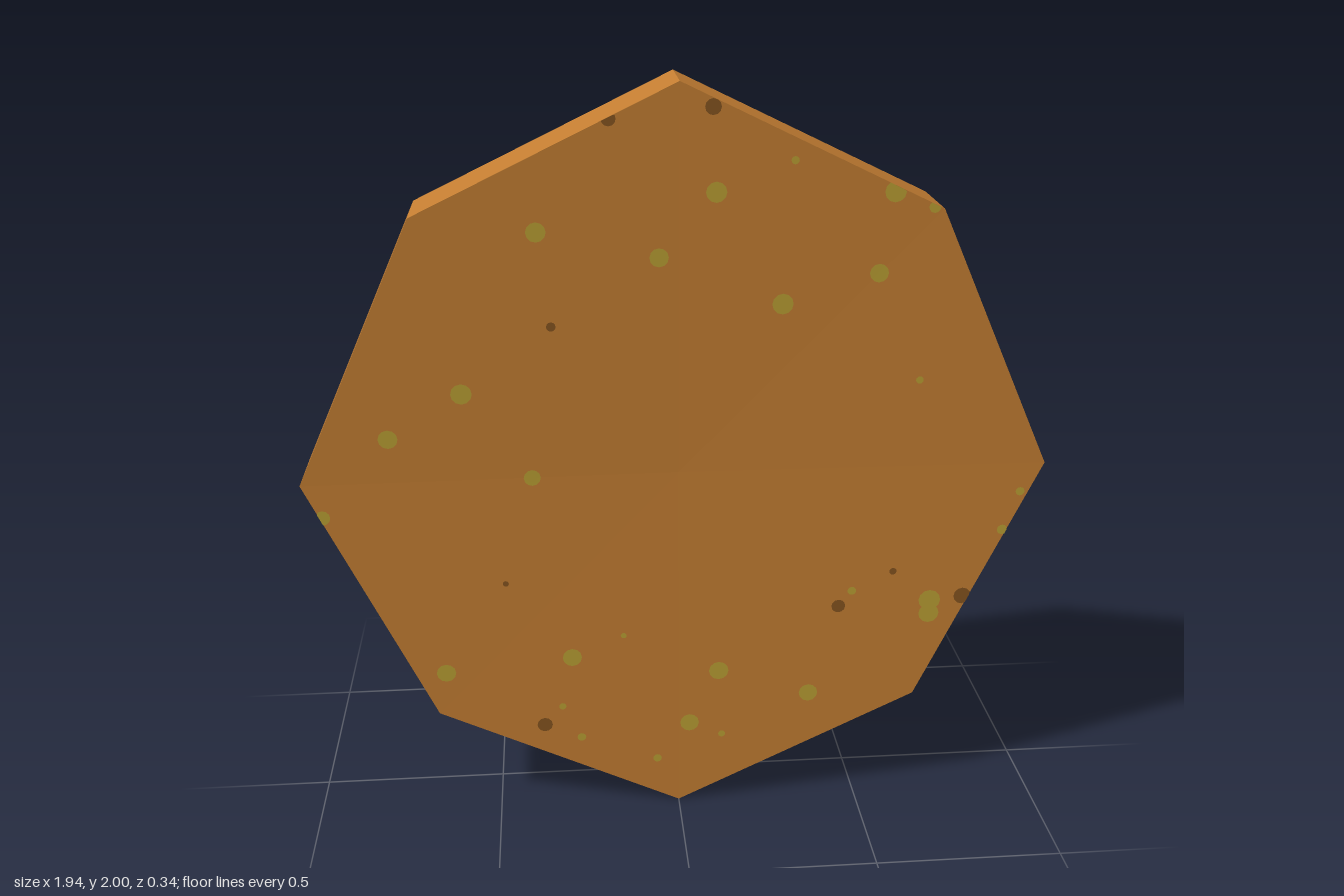
import * as THREE from 'three';
import { mergeGeometries } from 'three/addons/utils/BufferGeometryUtils.js';

const FRONT = 0.165, RIM_BACK = -0.035, DISH = 0.015;
// octagon corners, counter-clockwise seen from the front
const OCT = [[0.97, 0], [0.655, 0.685], [0, 1], [-0.655, 0.685], [-0.97, 0], [-0.655, -0.685], [0, -1], [0.655, -0.685]];
// rings from front centre over the rim to the back apex: [scale, z]
const RINGS = [[0, FRONT - DISH], [1, FRONT], [1, RIM_BACK], [0.73, -0.078], [0, -0.17]];

// 0 at the centre, 1 on the octagon outline
function radius(x, y) {
  return Math.max(...OCT.map(([ax, ay], i) => {
    const [bx, by] = OCT[(i + 1) % 8], ex = bx - ax, ey = by - ay;
    return (x * ey - y * ex) / (ax * ey - ay * ex);
  }));
}

// point lying just above the front or back surface, kept inside the outline
function onSurface(x, y, back) {
  let r = radius(x, y);
  if (r > 1) { x /= r; y /= r; r = 1; }
  let z = FRONT - DISH * (1 - r) + 0.003;
  if (back) {
    z = r > 0.73 ? THREE.MathUtils.mapLinear(r, 0.73, 1, -0.078, RIM_BACK)
      : THREE.MathUtils.mapLinear(r, 0, 0.73, -0.17, -0.078);
    z -= 0.004;
  }
  return [x, y + 1, z];
}

function bodyGeometry() {
  const pos = [];
  const at = (i, [s, z]) => [OCT[i % 8][0] * s, OCT[i % 8][1] * s + 1, z];
  for (let k = 0; k < RINGS.length - 1; k++) {
    const A = RINGS[k], B = RINGS[k + 1];
    for (let i = 0; i < 8; i++) {
      if (B[0] > 0) pos.push(...at(i, A), ...at(i, B), ...at(i + 1, B));
      if (A[0] > 0) pos.push(...at(i, A), ...at(i + 1, B), ...at(i + 1, A));
    }
  }
  const g = new THREE.BufferGeometry();
  g.setAttribute('position', new THREE.Float32BufferAttribute(pos, 3));
  g.computeVertexNormals();
  return g;
}

// lay a flat geometry onto the shell
function drape(g, back) {
  const p = g.attributes.position;
  for (let i = 0; i < p.count; i++) p.setXYZ(i, ...onSurface(p.getX(i), p.getY(i), back));
  g.computeVertexNormals();
  return g;
}

// thin ribbon following a branch, narrowing a little at its end
function ribbon(points) {
  const curve = new THREE.CatmullRomCurve3(points.map(([x, y]) => new THREE.Vector3(x, y, 0)));
  const n = points.length * 8;
  const g = new THREE.PlaneGeometry(1, 1, n, 2);
  const p = g.attributes.position;
  for (let i = 0; i <= n; i++) {
    const t = i / n, c = curve.getPoint(t), d = curve.getTangent(t);
    const end = Math.min(1, 0.4 + Math.min(i, n - i) * 0.3);
    const w = 0.025 * end;
    for (let j = 0; j < 3; j++) {
      const s = (1 - j) * w;
      // columns run so that the face looks backward
      p.setXYZ(j * (n + 1) + i, c.x + d.y * s, c.y - d.x * s, 0);
    }
  }
  return drape(g, true);
}

// branching cracks on the back, each a list of strokes
const CRACKS = {
  upperLeftCrack: [
    [[0.085, 0.92], [0.165, 0.78], [0.28, 0.64], [0.37, 0.515], [0.52, 0.414], [0.57, 0.307], [0.56, 0.18], [0.58, 0.068], [0.487, 0.038], [0.39, -0.043]],
    [[0.52, 0.414], [0.626, 0.484], [0.663, 0.564]],
    [[0.31, 0.61], [0.353, 0.71], [0.449, 0.773]],
    [[0.26, 0.66], [0.157, 0.695], [0.03, 0.745]],
    [[0.56, 0.2], [0.625, 0.267]],
    [[0.57, 0.08], [0.605, 0.015]],
  ],
  middleCrack: [
    [[-0.806, -0.057], [-0.67, 0.013], [-0.533, 0.098], [-0.4, 0.1], [-0.25, 0.098], [-0.13, 0.127], [-0.007, 0.169], [0.112, 0.181], [0.149, 0.264]],
    [[0.112, 0.19], [0.158, 0.085]],
    [[0.03, 0.175], [0.052, 0.256], [0.044, 0.371]],
    [[-0.25, 0.098], [-0.26, -0.074], [-0.19, -0.243]],
    [[-0.26, -0.06], [-0.343, -0.117]],
    [[-0.51, 0.1], [-0.54, -0.014], [-0.54, -0.115]],
  ],
  upperRightCrack: [
    [[-0.135, 0.195], [-0.178, 0.319], [-0.252, 0.366], [-0.332, 0.384], [-0.395, 0.483], [-0.427, 0.548], [-0.615, 0.575]],
    [[-0.42, 0.54], [-0.36, 0.59], [-0.328, 0.642]],
    [[-0.24, 0.36], [-0.213, 0.471], [-0.121, 0.5]],
    [[-0.39, 0.46], [-0.487, 0.359], [-0.533, 0.306]],
  ],
  lowerCrack: [
    [[0.295, -0.307], [0.271, -0.434], [0.328, -0.545], [0.326, -0.703], [0.353, -0.814], [0.237, -0.787], [0.097, -0.576], [0.08, -0.413], [0.011, -0.298]],
    [[0.31, -0.5], [0.413, -0.49]],
    [[0.24, -0.78], [0.2, -0.85], [0.152, -0.92]],
    [[0.097, -0.576], [-0.074, -0.654], [-0.265, -0.619], [-0.545, -0.562]],
    [[-0.074, -0.654], [-0.201, -0.779], [-0.231, -0.878]],
    [[-0.28, -0.62], [-0.33, -0.735]],
  ],
};

// spots on the front: x, y from the centre, radius
const PALE = [
  [0.09, 0.735, 0.026], [0.28, 0.81, 0.01], [0.53, 0.73, 0.027], [0.63, 0.69, 0.015], [-0.35, 0.645, 0.025],
  [-0.05, 0.575, 0.024], [0.26, 0.45, 0.027], [0.5, 0.525, 0.024], [-0.55, 0.235, 0.027], [-0.74, 0.12, 0.025],
  [-0.38, 0, 0.022], [-0.92, -0.09, 0.02], [0.62, 0.24, 0.01], [0.91, -0.08, 0.012], [0.87, -0.19, 0.014],
  [0.685, -0.395, 0.03], [0.685, -0.435, 0.028], [-0.63, -0.56, 0.026], [-0.29, -0.53, 0.026], [0.11, -0.59, 0.027],
  [0.36, -0.67, 0.026], [0.03, -0.75, 0.026], [-0.06, -0.86, 0.012], [-0.27, -0.78, 0.012], [-0.32, -0.68, 0.01],
  [0.12, -0.79, 0.01], [0.47, -0.36, 0.012], [-0.15, -0.47, 0.008],
];
const DARK = [
  [0.08, 0.94, 0.02], [-0.17, 0.915, 0.018], [-0.32, 0.405, 0.012], [-0.46, -0.3, 0.008],
  [0.58, -0.305, 0.01], [0.435, -0.405, 0.019], [0.775, -0.385, 0.024], [-0.37, -0.735, 0.021],
];
const spots = (list) => mergeGeometries(list.map(([x, y, r]) =>
  drape(new THREE.CircleGeometry(r, 12).translate(x, y, 0), false)));

export function createModel() {
  const mat = (name, color, side = THREE.FrontSide) => {
    const m = new THREE.MeshStandardMaterial({ color, side });
    m.name = name;
    return m;
  };
  const shell = mat('amber brown', 0xc47e32);
  const brown = mat('dark brown', 0x85541f, THREE.DoubleSide);
  const olive = mat('olive yellow', 0xba9f33);

  const model = new THREE.Group();
  model.name = 'octagonalPlate';
  const add = (name, geometry, material) => {
    const m = new THREE.Mesh(geometry, material);
    m.name = name;
    model.add(m);
  };
  add('plateBody', bodyGeometry(), shell);
  add('paleSpots', spots(PALE), olive);
  add('darkSpots', spots(DARK), brown);
  for (const [name, strokes] of Object.entries(CRACKS)) add(name, mergeGeometries(strokes.map(ribbon)), brown);
  return model;
}
